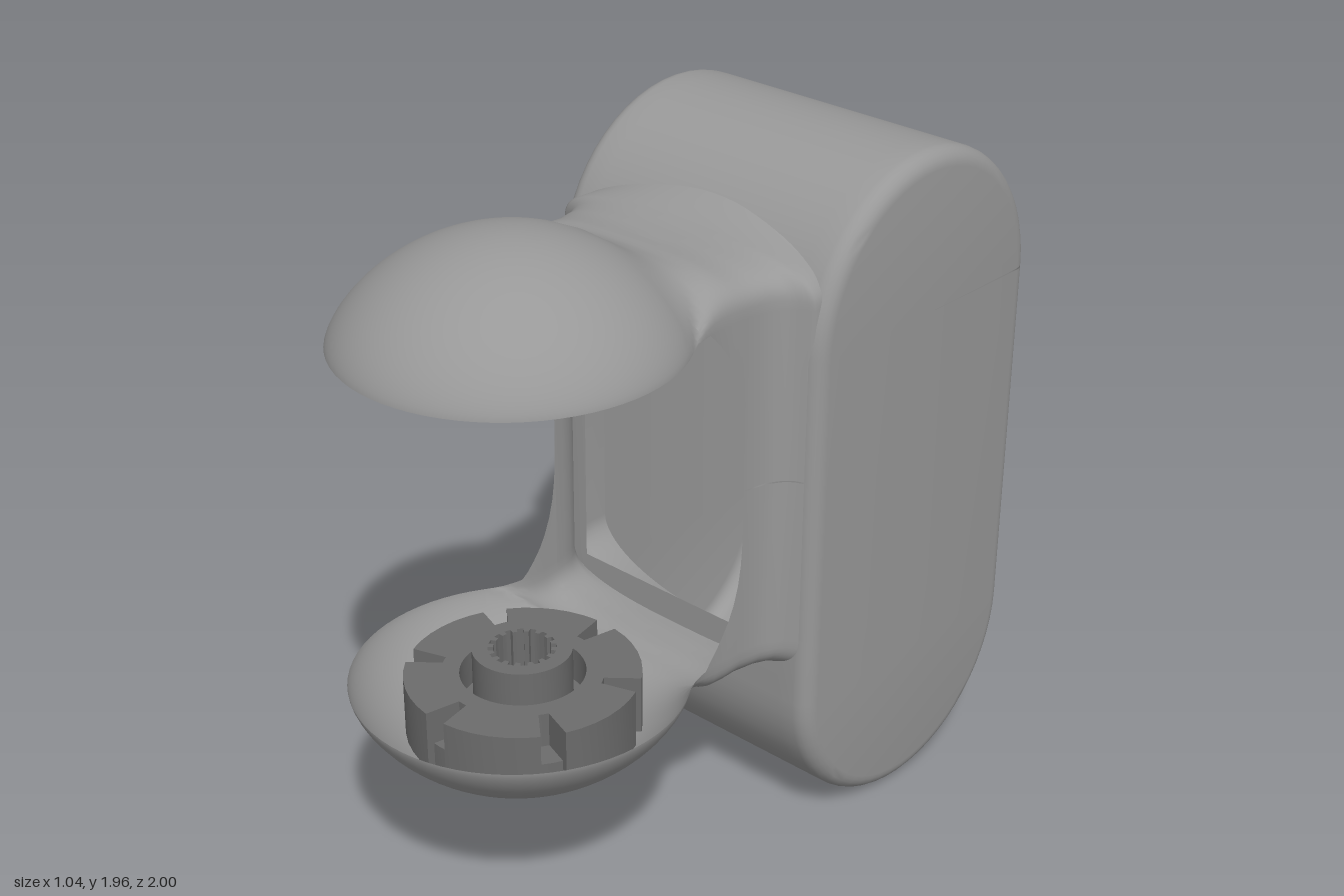
import * as THREE from 'three';
import { mergeGeometries, toCreasedNormals } from 'three/addons/utils/BufferGeometryUtils.js';

const CX = 0.042, MID = 1.155;            // shared centre line and mirror plane of the arms
const R = 0.46, DZ = 0.54, RIM = 1.65;    // dome radius, centre depth and rim height
const CUT = 0.3;                          // depth where the neck runs into the dome
const paint = color => new THREE.MeshStandardMaterial({ color, side: THREE.DoubleSide });
const shell = paint(0x989898), metal = paint(0xb0b0b0), dark = paint(0x6c6c6c);

// Surface through rows of points; skip(midpoint) leaves openings
function surface(rows, skip = () => false) {
  const pos = [];
  for (let i = 0; i + 1 < rows.length; i++) {
    for (let j = 0; j + 1 < rows[i].length; j++) {
      const a = rows[i][j], b = rows[i][j + 1], c = rows[i + 1][j + 1], d = rows[i + 1][j];
      const mid = a.clone().add(b).add(c).add(d).multiplyScalar(0.25);
      if (skip(mid)) continue;
      for (const p of [a, b, c, a, c, d]) pos.push(p.x, p.y, p.z);
    }
  }
  const g = new THREE.BufferGeometry();
  g.setAttribute('position', new THREE.Float32BufferAttribute(pos, 3));
  return g;
}

function add(parent, name, geometry, material) {
  const m = new THREE.Mesh(geometry, material);
  m.name = name;
  parent.add(m);
  return m;
}

// Interpolates a short table of [z, value] pairs
function table(pairs) {
  return z => {
    const i = Math.max(1, pairs.findIndex(p => z <= p[0]));
    const [[z0, v0], [z1, v1]] = [pairs[i - 1], pairs[i]];
    return THREE.MathUtils.lerp(v0, v1, (z - z0) / (z1 - z0));
  };
}

// Upright housing: stadium profile, rounded side edges, seam slits, open towards the neck
function housing() {
  const HW = 0.475, F = 0.05, BR = 0.455, ZC = -0.545, YT = 1.505, YB = 0.455;
  const top = [Math.PI - 0.16, Math.PI - 0.15, Math.PI - 0.01], bottom = [];
  for (let k = 0; k <= 28; k++) {
    top.push(Math.PI * k / 28);
    bottom.push(Math.PI * (1 + k / 28));
  }
  top.sort((a, b) => a - b);
  const ring = (x, r) => {
    const at = yc => a => new THREE.Vector3(CX + x, yc + r * Math.sin(a), ZC + r * Math.cos(a));
    const pts = [...top.map(at(YT)), ...bottom.map(at(YB))];
    return [...pts, new THREE.Vector3(CX + x, 0.62, ZC + r), pts[0].clone()];
  };
  const side = [[HW, 0]];
  for (let k = 0; k <= 6; k++) {
    const a = Math.PI / 2 * (1 - k / 6);
    side.push([HW - F + F * Math.sin(a), BR - F + F * Math.cos(a)]);
  }
  side.push([0.37, BR], [0.245, BR]);
  const stations = [...side.map(([x, r]) => [-x, r]), ...side.reverse()];
  const open = p => {
    const x = Math.abs(p.x - CX), a = Math.PI - Math.atan2(p.y - YT, p.z - ZC);
    const mouth = p.z > -0.3 && p.y > 0.6 && p.y < 1.7 && x < 0.35;
    const seam = x > 0.245 ? a > 0 && a < 0.01 : a > 0.15 && a < 0.16;
    return mouth || seam;
  };
  return toCreasedNormals(surface(stations.map(([x, r]) => ring(x, r)), open), 0.6);
}

const domeY = r => RIM + 0.28 * Math.pow(Math.max(0, 1 - (r / R) ** 2), 0.72);

const halfWidth = table([[-0.25, 0.45], [-0.1, 0.448], [-0.09, 0.436], [-0.08, 0.412], [-0.06, 0.39],
  [-0.02, 0.366], [0.05, 0.352], [0.12, 0.348], [0.17, 0.349], [0.21, 0.355], [0.25, 0.366],
  [0.275, 0.378], [CUT, Math.sqrt(R * R - (DZ - CUT) ** 2)]]);
const topY = table([[-0.25, 1.832], [-0.2, 1.81], [-0.15, 1.793], [-0.1, 1.779], [-0.04, 1.772],
  [0.05, 1.77], [0.12, 1.778], [0.2, 1.81], [CUT, 1.85]]);

// Arch across the neck as [x, height 0..1] pairs; squareness below 1 fills out the corners
function arch(w, squareness) {
  const pts = [];
  for (let j = 0; j <= 36; j++) {
    const a = Math.PI * (1 - j / 36), c = Math.cos(a);
    pts.push([w * Math.sign(c) * Math.pow(Math.abs(c), squareness),
      Math.pow(Math.max(0, Math.sin(a)), squareness)]);
  }
  return pts;
}

// Hollow dome, trimmed flat at the back where the neck joins
function dome(s) {
  const rows = [];
  const cut = Math.acos((DZ - CUT) / R);
  const angles = arch(halfWidth(CUT), 0.6).map(([x]) => Math.atan2(x, DZ - CUT));
  for (let k = 1; k <= 48; k++) angles.push(cut + (2 * Math.PI - 2 * cut) * k / 48);
  for (let i = 0; i <= 24; i++) {
    const t = Math.sin(Math.PI / 2 * i / 24);
    rows.push(angles.map(a => {
      const back = Math.cos(a);
      const r = t * (back > 0 ? Math.min(R, (DZ - CUT) / back) : R);
      return new THREE.Vector3(CX + r * Math.sin(a), MID + s * (domeY(r) - MID), DZ - r * back);
    }));
  }
  return surface(rows);
}

// Half of the hollow neck: arched sections with legs down to the seam
function neck(s) {
  const depths = [CUT, 0.2875, 0.275, 0.2625, 0.25, 0.23, 0.21, 0.19, 0.17, 0.145, 0.12, 0.1, 0.08,
    0.065, 0.056, 0.052, 0.0502, 0.05, 0.01, -0.02, -0.04, -0.06, -0.08, -0.09, -0.1, -0.15, -0.2, -0.25];
  const { smoothstep, lerp, clamp } = THREE.MathUtils;
  const rows = depths.map(z => {
    const w = halfWidth(z), blend = smoothstep(z, 0.1, CUT);
    const t = clamp((z - 0.05) / 0.14, 0, 1);
    const foot = MID + 0.002 + (RIM - MID - 0.002) * Math.pow(t, 0.25);
    const put = (x, y) => new THREE.Vector3(CX + x, MID + s * (y - MID), z);
    const over = arch(w, lerp(1, 0.6, smoothstep(z, -0.25, 0))).map(([x, h]) =>
      put(x, lerp(RIM + (topY(z) - RIM) * h, domeY(Math.hypot(x, DZ - z)), blend)));
    return [put(-w, foot), ...over, put(w, foot)];
  });
  return surface(rows);
}

// Neck and dome as one skin; s = -1 mirrors it into the lower arm with its bowl
const arm = s => toCreasedNormals(mergeGeometries([neck(s), dome(s)]), 0.9);

function circle(x, y, r) {
  return new THREE.Path().absarc(x, y, r, 0, Math.PI * 2, true);
}

function disc(r, holes) {
  const shape = new THREE.Shape().absarc(0, 0, r, 0, Math.PI * 2);
  shape.holes.push(...holes);
  return shape;
}

function extrude(shape, depth) {
  return toCreasedNormals(
    new THREE.ExtrudeGeometry(shape, { depth, bevelEnabled: false, curveSegments: 32 }), 0.5);
}

// Round outline that alternates between two radii
function toothed(outer, inner, count, fill, Type) {
  const pts = [], step = Math.PI * 2 / count;
  for (let i = 0; i < count; i++) {
    for (const [from, to, r] of [[0, fill, outer], [fill + 0.04, 0.96, inner]]) {
      for (let k = 0; k <= 6; k++) {
        const a = (i + from + (to - from) * k / 6) * step;
        pts.push(new THREE.Vector2(r * Math.cos(a), r * Math.sin(a)));
      }
    }
  }
  return new Type(pts);
}

// Lobed coupling with a splined hub, lying in the bowl
function coupling() {
  const g = new THREE.Group();
  g.name = 'coupling';
  const spline = () => toothed(0.092, 0.078, 16, 0.5, THREE.Path);
  const lobes = toothed(0.32, 0.22, 6, 0.8, THREE.Shape);
  lobes.holes.push(circle(0, 0, 0.17));
  const layers = [
    ['lobedDisc', lobes, 0.5, 0.17],
    ['couplingBase', disc(0.3, [spline()]), 0.49, 0.08],
    ['splinedHub', disc(0.135, [spline()]), 0.49, 0.253],
  ];
  for (const [name, shape, y, h] of layers) {
    const m = add(g, name, extrude(shape, h), dark);
    m.rotation.x = -Math.PI / 2;
    m.position.y = y;
  }
  g.rotation.y = -0.42;
  g.position.set(CX, 0, 0.53);
  return g;
}

// Drilled side flange with a recessed bush in its centre bore
function flange() {
  const g = new THREE.Group();
  g.name = 'sideFlange';
  const holes = [circle(0, 0, 0.085)];
  for (let i = 0; i < 4; i++) {
    const a = i * Math.PI / 2;
    holes.push(circle(0.22 * Math.cos(a), 0.22 * Math.sin(a), 0.032));
  }
  add(g, 'flangePlate', extrude(disc(0.315, holes), 0.095), metal);
  add(g, 'flangeBush', extrude(disc(0.085, [circle(0, 0, 0.045)]), 0.06), metal);
  g.rotation.y = -Math.PI / 2;
  g.position.set(-0.43, 1.385, -0.58);
  return g;
}

export function createModel() {
  const model = new THREE.Group();
  model.name = 'clampUnit';
  add(model, 'housing', housing(), shell);
  add(model, 'upperArm', arm(1), shell);
  add(model, 'lowerArm', arm(-1), shell);
  model.add(coupling(), flange());
  return model;
}
